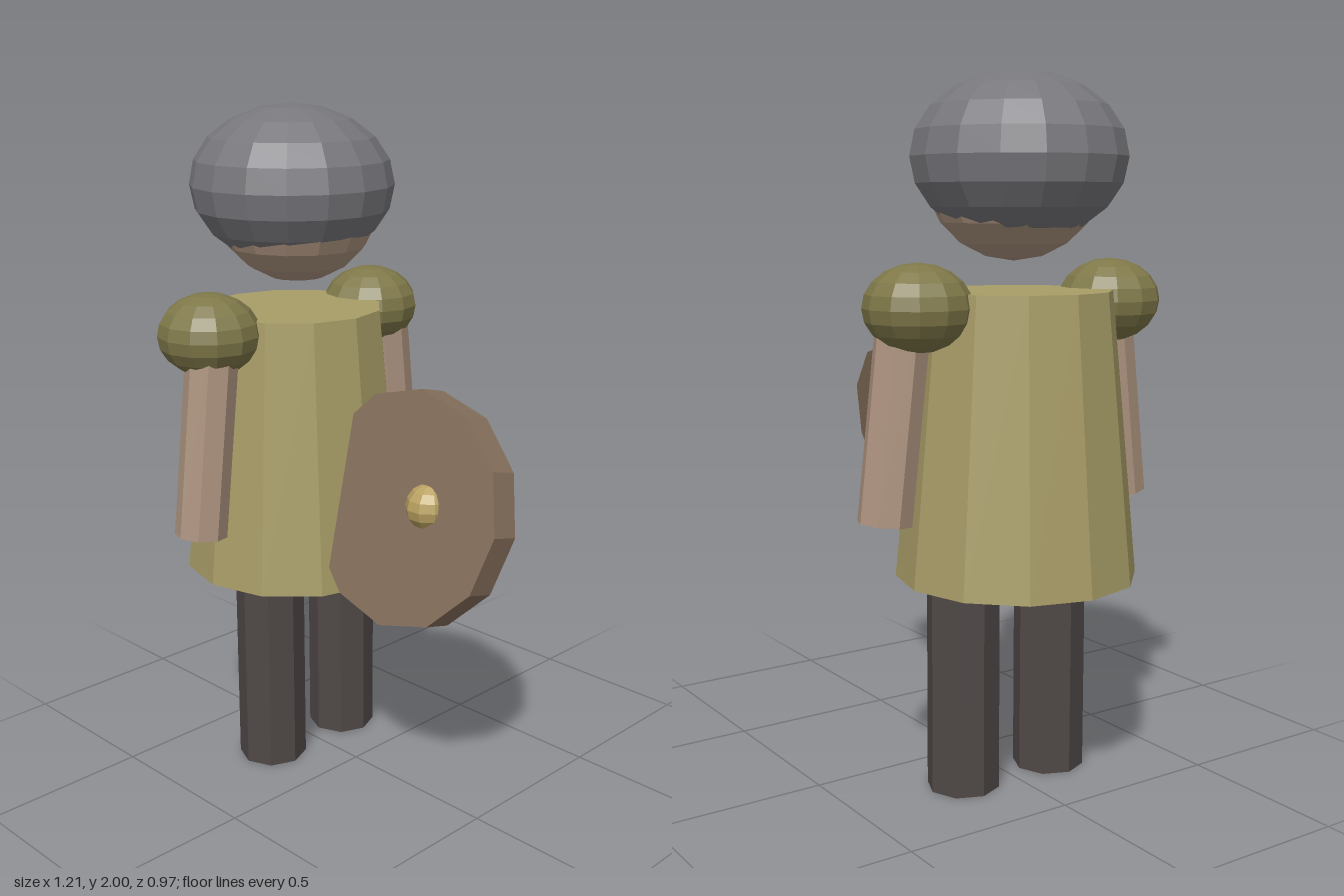
import * as THREE from 'three';

const AXIS = -0.265; // vertical axis of the body, which faces +x

export function createModel() {
  const root = new THREE.Group();
  root.name = 'shieldBearer';

  const mat = (color) => new THREE.MeshStandardMaterial({ color, flatShading: true });
  const cloth = mat(0xa89d68), pad = mat(0x7f7849), skin = mat(0xae9480);
  const iron = mat(0x78777c), dark = mat(0x4f4847), wood = mat(0x86705c), brass = mat(0xb8a060);

  const add = (name, geometry, material, x, y, z) => {
    const mesh = new THREE.Mesh(geometry, material);
    mesh.name = name;
    mesh.position.set(x, y, z);
    root.add(mesh);
    return mesh;
  };
  const ball = (rx, ry, rz, w, h) => new THREE.SphereGeometry(1, w, h).scale(rx, ry, rz);

  // Head, slightly forward under the rounded helmet
  add('head', ball(0.25, 0.25, 0.25, 14, 10), skin, -0.245, 1.74, 0);
  add('helmet', ball(0.3, 0.23, 0.3, 16, 10), iron, AXIS, 1.77, 0);

  // Flared tunic
  add('tunic', new THREE.CylinderGeometry(0.265, 0.341, 0.8, 12), cloth, AXIS, 1.01, 0);

  // Paired limbs
  for (const [side, s] of [['left', -1], ['right', 1]]) {
    add(side + 'Leg', new THREE.CylinderGeometry(0.104, 0.104, 0.63, 8), dark, -0.222, 0.315, s * 0.152);
    add(side + 'Shoulder', ball(0.148, 0.119, 0.148, 12, 10), pad, AXIS, 1.373, s * 0.325);
    const arm = add(side + 'Arm', new THREE.CylinderGeometry(0.076, 0.076, 0.57, 8), skin, -0.227, 1.08, s * 0.376);
    arm.rotation.x = -s * 0.115;
  }

  // Round shield leaning back, with a boss through it
  const shield = add('shield', new THREE.CylinderGeometry(0.34, 0.34, 0.09, 12), wood, 0.26, 0.91, 0.04);
  shield.rotation.x = Math.PI / 2 - 0.25;
  add('shieldBoss', ball(0.069, 0.069, 0.079, 10, 8), brass, 0.338, 0.937, 0.042);

  return root;
}
